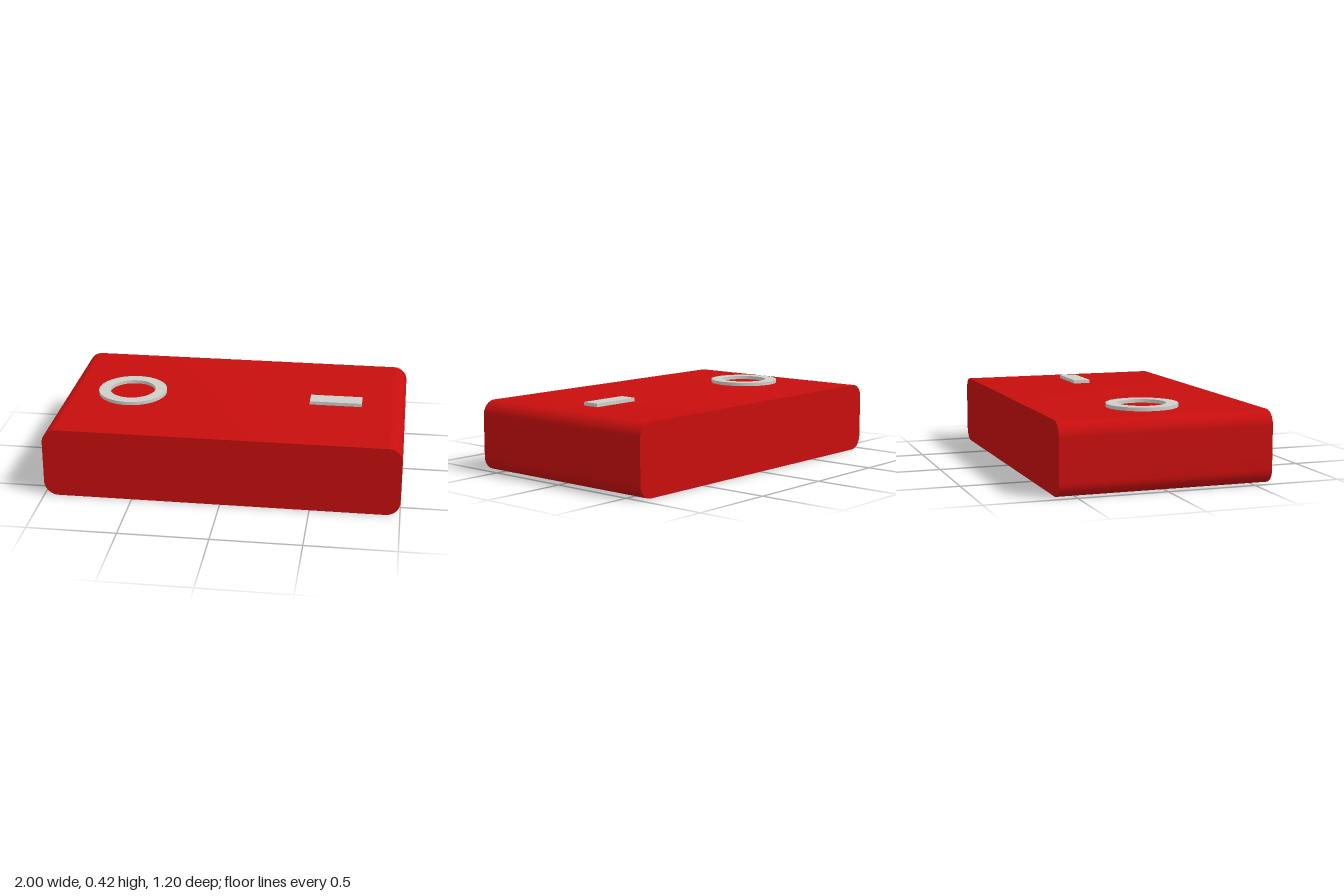
import * as THREE from 'three';
import { toCreasedNormals } from 'three/addons/utils/BufferGeometryUtils.js';

const WIDTH = 2, HEIGHT = 0.4, DEPTH = 1.2, RADIUS = 0.08, TRIM = 0.02;

const material = (name, color) => {
  const m = new THREE.MeshStandardMaterial({ color });
  m.name = name;
  return m;
};

// Extrudes a shape along z, with smooth curves and sharp rims
const extrude = (shape, depth, curveSegments) =>
  toCreasedNormals(
    new THREE.ExtrudeGeometry(shape, { depth, curveSegments, bevelEnabled: false }), 0.6);

// Rectangle with four rounded corners, standing on y = 0
function roundedRect(w, h, r) {
  const s = new THREE.Shape();
  const x = w / 2;
  s.absarc(x - r, r, r, -Math.PI / 2, 0);
  s.absarc(x - r, h - r, r, 0, Math.PI / 2);
  s.absarc(-x + r, h - r, r, Math.PI / 2, Math.PI);
  s.absarc(-x + r, r, r, Math.PI, Math.PI * 1.5);
  s.closePath();
  return s;
}

export function createModel() {
  const group = new THREE.Group();
  const red = material('red', 0xc80e0e);
  const grey = material('light grey', 0xcfcfca);

  const add = (name, geometry, mat) => {
    const mesh = new THREE.Mesh(geometry, mat);
    mesh.name = name;
    group.add(mesh);
    return mesh;
  };

  // Case: rounded profile run from back to front
  const body = extrude(roundedRect(WIDTH, HEIGHT, RADIUS), DEPTH, 12);
  add('body', body.translate(0, 0, -DEPTH / 2), red);

  // Flat ring on the top face
  const ringShape = new THREE.Shape().absarc(0, 0, 0.2, 0, Math.PI * 2);
  ringShape.holes.push(new THREE.Path().absarc(0, 0, 0.133, 0, Math.PI * 2, true));
  const ring = add('ring', extrude(ringShape, TRIM, 32).rotateX(-Math.PI / 2), grey);
  ring.position.set(-0.6, HEIGHT, 0);

  // Flat bar on the top face
  const bar = add('bar', new THREE.BoxGeometry(0.3, TRIM, 0.1), grey);
  bar.position.set(0.6, HEIGHT + TRIM / 2, 0);

  return group;
}
